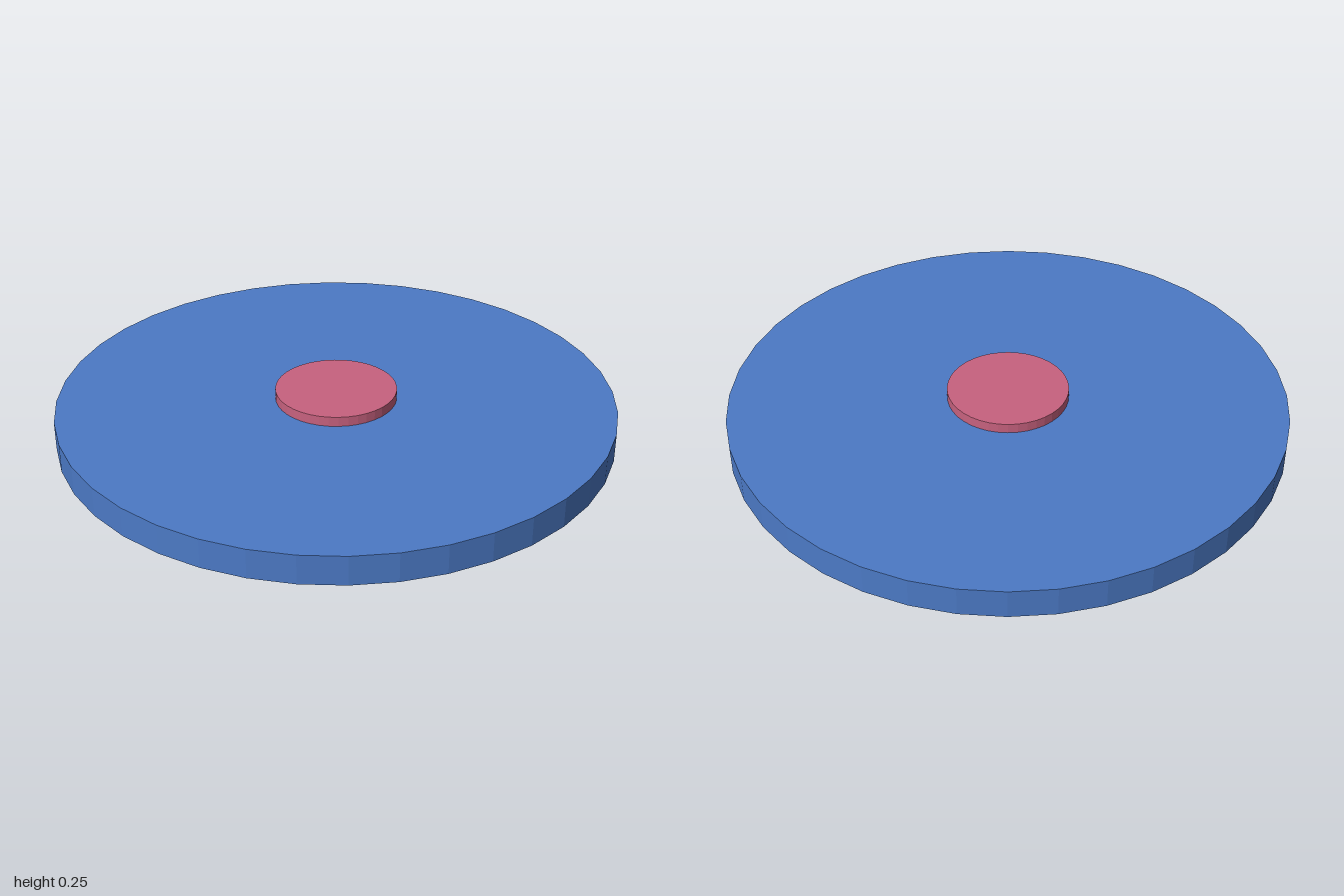
import * as THREE from 'three';

const BLUE = 0x4c7ac6;
const RED = 0xc8627f;

// A flat-shaded disc spanning the heights from bottom to top
function disc(name, radius, bottom, top, color) {
  const geometry = new THREE.CylinderGeometry(radius, radius, top - bottom, 40);
  const material = new THREE.MeshStandardMaterial({ color, flatShading: true });
  const mesh = new THREE.Mesh(geometry, material);
  mesh.name = name;
  mesh.position.y = (bottom + top) / 2;
  return mesh;
}

export function createModel() {
  const model = new THREE.Group();
  model.name = 'discStack';
  model.add(
    disc('base', 0.44, 0, 0.11, BLUE),
    disc('plate', 1, 0.11, 0.217, BLUE),
    disc('centreButton', 0.218, 0.217, 0.253, RED),
  );
  return model;
}
